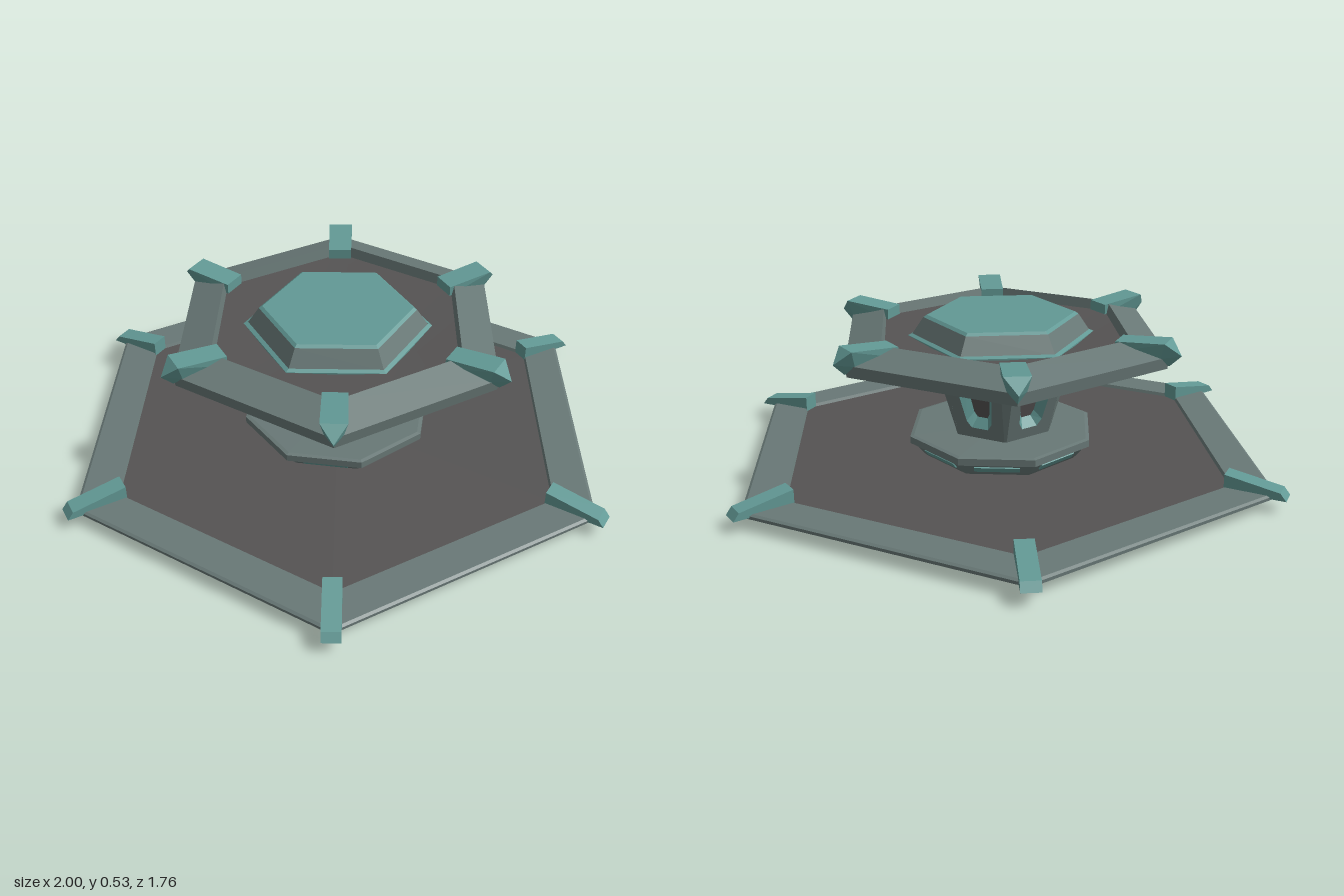
import * as THREE from 'three';
import { ConvexGeometry } from 'three/addons/geometries/ConvexGeometry.js';

const material = (color, flatShading = true) =>
  new THREE.MeshStandardMaterial({ color, flatShading, side: THREE.DoubleSide });
const grey = material(0x687876);
const teal = material(0x629995);
const dark = material(0x555353);
const darkSmooth = material(0x555353, false);

const add = (parent, name, geometry, mat) => {
  const mesh = new THREE.Mesh(geometry, mat);
  mesh.name = name;
  parent.add(mesh);
  return mesh;
};

// Polygonal turned solid; profile is [radius, height], first corner at angle start from +z
const turned = (profile, sides, start = Math.PI / 2) =>
  new THREE.LatheGeometry(profile.map(([r, y]) => new THREE.Vector2(r, y)), sides, start);

const hull = (points) => new ConvexGeometry(points.map((p) => new THREE.Vector3(...p)));

// Mirrors points across the radial plane
const mirrored = (points) => points.flatMap(([x, y, z]) => [[x, y, z], [-x, y, z]]);

// Calls build with a new group for each of n directions, +z being outward
function around(parent, name, n, offset, build) {
  for (let i = 0; i < n; i++) {
    const g = new THREE.Group();
    g.name = name;
    g.rotation.y = offset + (i * Math.PI * 2) / n;
    parent.add(g);
    build(g);
  }
}

// Closed band of quads joining two loops of equal length
function band(a, b) {
  const pos = [];
  a.forEach((p, i) => {
    const j = (i + 1) % a.length;
    pos.push(...p, ...b[i], ...a[j], ...a[j], ...b[i], ...b[j]);
  });
  const g = new THREE.BufferGeometry();
  g.setAttribute('position', new THREE.Float32BufferAttribute(pos, 3));
  g.computeVertexNormals();
  return g;
}

const toShape = (pts) => new THREE.Shape(pts.map(([x, y]) => new THREE.Vector2(x, y)));

function buildBase(root) {
  const base = new THREE.Group();
  base.name = 'base';
  root.add(base);
  add(base, 'basePlatform', turned([[0, 0], [0.82, 0], [0.82, 0.04], [0.965, 0.04],
    [0.965, 0.05], [0.955, 0.055], [0.82, 0.056], [0.815, 0.045]], 6), grey);
  add(base, 'baseFloor', turned([[0.82, 0.045], [0, 0.045]], 6), dark);
  // Wedge clamps over the rim corners
  const clamp = hull(mirrored([[0.03, 0.045, 0.8], [0.03, 0.1, 0.8],
    [0.03, 0.07, 0.98], [0.03, 0.045, 1]]));
  around(base, 'baseClamp', 6, Math.PI / 6, (g) => add(g, 'baseClampWedge', clamp, teal));
}

function buildPedestal(root) {
  const pedestal = new THREE.Group();
  pedestal.name = 'pedestal';
  root.add(pedestal);
  add(pedestal, 'pedestalPlate', turned([[0.27, 0.045], [0.28, 0.055], [0.31, 0.093],
    [0.328, 0.098], [0.328, 0.122], [0.315, 0.125], [0, 0.13]], 8, 0), grey);
  // Light strips on the undercut faces
  around(pedestal, 'pedestalLight', 8, Math.PI / 8, (g) => {
    const strip = add(g, 'pedestalLightStrip', new THREE.BoxGeometry(0.15, 0.024, 0.008), teal);
    strip.position.set(0, 0.074, 0.273);
    strip.rotation.x = 0.63;
  });
}

function buildColumn(root) {
  const column = new THREE.Group();
  column.name = 'column';
  root.add(column);
  const y0 = 0.128, y1 = 0.416, r0 = 0.156, r1 = 0.236;
  const height = Math.hypot(y1 - y0, r1 - r0);

  // Window outline, and the smaller pane set behind it
  const half = [[0.03, 0.04], [0.046, 0.065], [0.068, 0.222], [0.047, 0.25]];
  const outline = [...half, ...half.map(([x, y]) => [-x, y]).reverse()];
  const pane = outline.map(([x, y]) => [x * 0.62, 0.15 + (y - 0.15) * 0.76]);
  const wall = toShape([[-0.086, 0], [0.086, 0], [0.105, height], [-0.105, height]]);
  wall.holes.push(toShape(outline));
  const wallGeometry = new THREE.ShapeGeometry(wall);
  const frameGeometry = band(outline.map(([x, y]) => [x, y, 0]),
    pane.map(([x, y]) => [x, y, -0.03]));
  const paneGeometry = new THREE.ShapeGeometry(toShape(pane));

  around(column, 'columnSide', 6, 0, (g) => {
    const panel = new THREE.Group();
    panel.name = 'columnPanel';
    panel.position.set(0, y0, r0);
    panel.rotation.x = Math.atan2(r1 - r0, y1 - y0);
    g.add(panel);
    add(panel, 'columnWall', wallGeometry, grey);
    add(panel, 'windowFrame', frameGeometry, teal);
    add(panel, 'windowPane', paneGeometry, dark).position.z = -0.03;
  });

  // Bevelled posts between the walls
  const post = hull(mirrored([[0.004, y0, 0.178], [0.027, y1, 0.257],
    [0.004, y0, 0.165], [0.02, y1, 0.235]]));
  around(column, 'columnPost', 6, Math.PI / 6, (g) => add(g, 'columnPostBevel', post, grey));
}

function buildRoof(root) {
  const roof = new THREE.Group();
  roof.name = 'roof';
  root.add(roof);
  add(roof, 'roofRim', turned([[0, 0.415], [0.585, 0.415], [0.59, 0.455],
    [0.46, 0.495], [0.45, 0.455]], 6), grey);
  add(roof, 'roofFloor', turned([[0.455, 0.46], [0.2, 0.447], [0, 0.445]], 6), darkSmooth);
  // Arrow-headed clamps over the rim corners
  const clamp = hull(mirrored([[0.04, 0.46, 0.42], [0.04, 0.495, 0.42], [0.042, 0.508, 0.585],
    [0.03, 0.455, 0.57], [0, 0.463, 0.63], [0, 0.425, 0.592]]));
  around(roof, 'roofClamp', 6, Math.PI / 6, (g) => add(g, 'roofClampArrow', clamp, teal));
  // Raised cap, its corners turned to face front and back
  add(roof, 'capTrim', turned([[0.315, 0.445], [0.315, 0.456], [0.3, 0.462]], 6, 0), teal);
  add(roof, 'capSides', turned([[0.302, 0.458], [0.262, 0.518]], 6, 0), grey);
  add(roof, 'capTop', turned([[0.262, 0.518], [0.25, 0.526], [0, 0.526]], 6, 0), teal);
}

export function createModel() {
  const root = new THREE.Group();
  root.name = 'hexagonalStation';
  buildBase(root);
  buildPedestal(root);
  buildColumn(root);
  buildRoof(root);
  return root;
}
